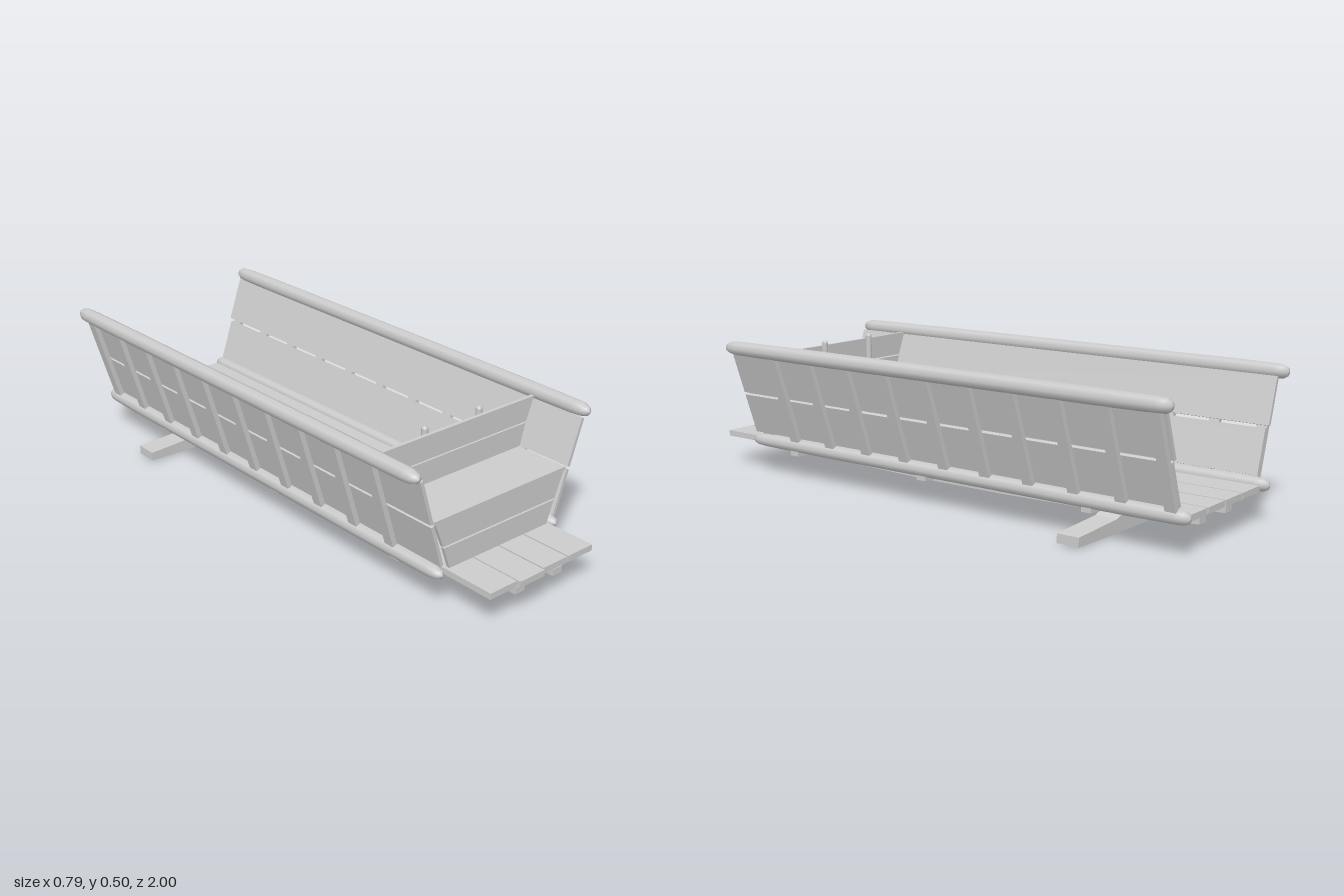
import * as THREE from 'three';

const material = new THREE.MeshStandardMaterial({ color: 0xcccccc });

export function createModel() {
  const model = new THREE.Group();

  const add = (name, geometry, parent = model) => {
    const mesh = new THREE.Mesh(geometry, material);
    mesh.name = name;
    parent.add(mesh);
    return mesh;
  };

  // Box given by its limits on each axis
  const box = (name, [x0, x1], [y0, y1], [z0, z1], parent) => {
    const mesh = add(name, new THREE.BoxGeometry(x1 - x0, y1 - y0, z1 - z0), parent);
    mesh.position.set((x0 + x1) / 2, (y0 + y1) / 2, (z0 + z1) / 2);
    return mesh;
  };

  // Outline in x and y, extruded from z0 to z1
  const prism = (name, points, z0, z1) => {
    const shape = new THREE.Shape(points.map(([x, y]) => new THREE.Vector2(x, y)));
    const geometry = new THREE.ExtrudeGeometry(shape, { depth: z1 - z0, bevelEnabled: false });
    geometry.translate(0, 0, z0);
    return add(name, geometry);
  };

  // Round pole along z with blunt, rounded ends
  const pole = (name, x, y, radius) => {
    const profile = [[0, -1], [0.55, -0.995], [0.85, -0.98], [0.93, -0.95], [1, -0.8],
      [1, 0.45], [0.93, 0.76], [0.85, 0.79], [0.55, 0.812], [0, 0.82]]
      .map(([r, z]) => new THREE.Vector2(r * radius, z));
    const geometry = new THREE.LatheGeometry(profile, 8);
    geometry.rotateX(Math.PI / 2);
    add(name, geometry).position.set(x, y, 0);
  };

  // Floor planks
  [[-0.228, -0.117, 0.985], [-0.112, -0.006, 0.995], [0, 0.106, 0.985], [0.111, 0.222, 0.985]]
    .forEach(([x0, x1, front]) => box('floorPlank', [x0, x1], [0.105, 0.126], [-0.98, front]));

  // Leaning side walls: rails, inner boards and outer slats
  for (const [side, bottomX] of [[1, 0.245], [-1, 0.26]]) {
    const topX = 0.367, bottomY = 0.122, topY = 0.475;
    pole('topRail', side * topX, topY, 0.027);
    pole('bottomRail', side * bottomX, bottomY, 0.025);

    const wall = new THREE.Group();
    wall.name = side > 0 ? 'leftWall' : 'rightWall';
    wall.position.set(side * bottomX, bottomY, 0);
    wall.rotation.z = -side * Math.atan2(topX - bottomX, topY - bottomY);
    model.add(wall);
    const across = (a, b) => (side > 0 ? [a, b] : [-b, -a]);
    box('wallBoard', across(-0.019, -0.007), [0.026, 0.179], [-0.96, 0.81], wall);
    box('wallBoard', across(-0.019, -0.007), [0.189, 0.35], [-0.97, 0.81], wall);
    for (let i = 0; i < 10; i++) {
      const z = 0.6 - i * 0.171;
      box('wallSlat', across(-0.007, 0.011), [0.015, 0.36], [z - 0.019, z + 0.019], wall);
    }
  }

  // Tapered boards: backrest above the seat, closing panel below its front edge
  [[0.215, 0.125, 0.242, 0.202, 0.79], [0.245, 0.208, 0.28, 0.293, 0.79],
    [0.285, 0.308, 0.307, 0.384, 0.597], [0.308, 0.389, 0.34, 0.47, 0.597]]
    .forEach(([w0, y0, w1, y1, z], i) => prism(i < 2 ? 'seatFrontBoard' : 'backrestBoard',
      [[-w0, y0], [w0, y0], [w1, y1], [-w1, y1]], z, z + 0.013));
  box('seat', [-0.287, 0.285], [0.294, 0.306], [0.597, 0.805]);

  // Posts behind the backrest
  for (const x of [-0.123, 0.112]) {
    const post = add('backrestPost', new THREE.CapsuleGeometry(0.011, 0.35, 3, 8));
    post.position.set(x, 0.305, 0.585);
  }

  // Cross bars under the floor
  for (const z of [0.605, 0.012, -0.645]) {
    prism('crossBar', [[-0.26, 0.104], [-0.26, 0.087], [-0.1, 0.078], [0.1, 0.078],
      [0.26, 0.087], [0.26, 0.104]], z - 0.018, z + 0.018);
  }

  // Lengthwise beams, deepest at the middle
  for (const x of [-0.083, 0.083]) {
    const beam = prism('longBeam', [[-0.97, 0.09], [-0.97, 0.067], [-0.45, 0.051], [-0.15, 0.044],
      [0.2, 0.044], [0.6, 0.052], [0.95, 0.067], [0.95, 0.09]], -0.02, 0.02);
    beam.rotation.y = Math.PI / 2;
    beam.position.x = x;
  }

  // Broad rear bolster
  prism('rearBolster', [[-0.35, 0.004], [-0.15, 0], [0.15, 0], [0.352, 0.004], [0.352, 0.035],
    [0.14, 0.046], [0.115, 0.054], [-0.12, 0.054], [-0.14, 0.046], [-0.35, 0.035]], -0.682, -0.602);

  return model;
}
